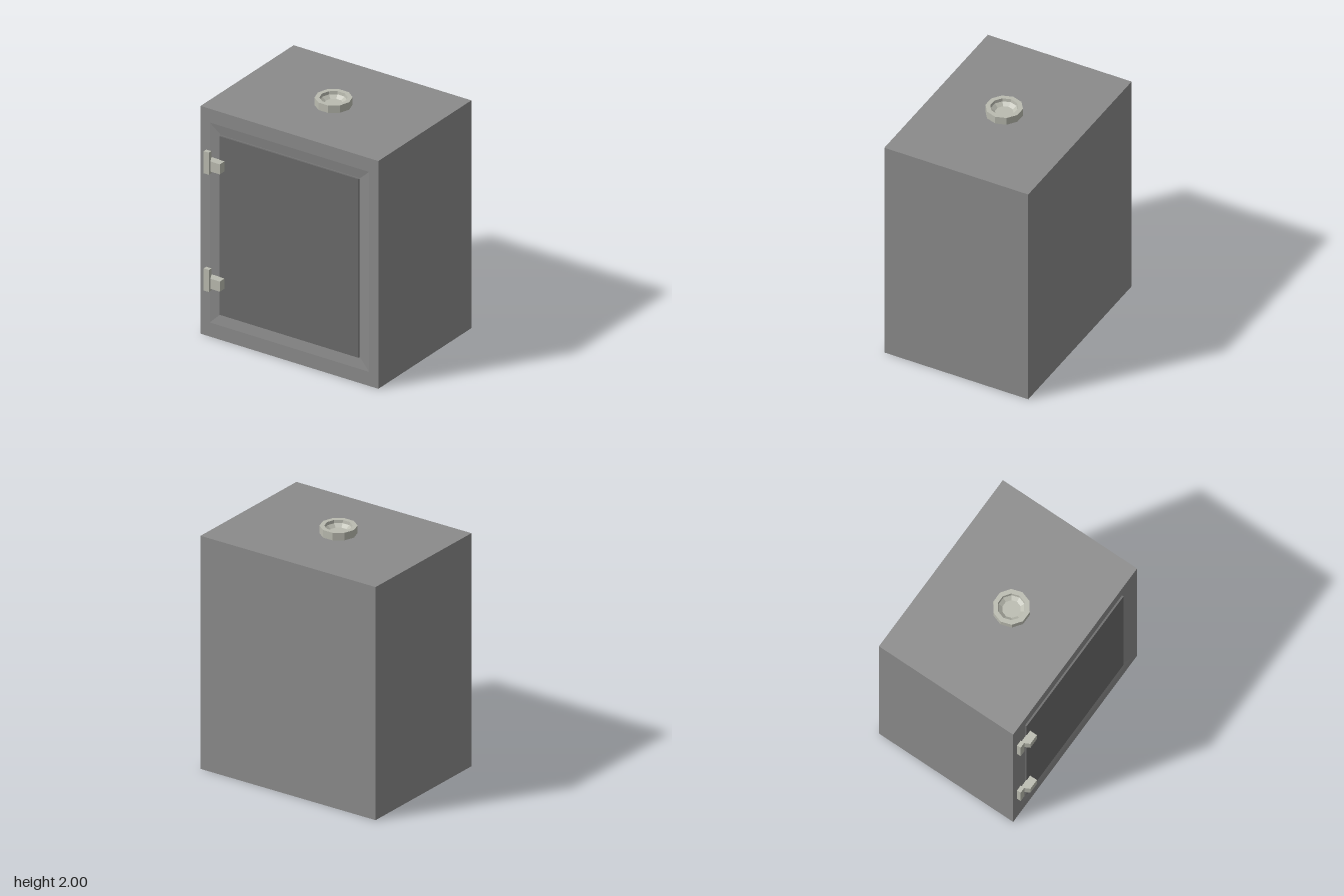
import * as THREE from 'three';

const bodyGrey = new THREE.MeshStandardMaterial({ color: 0x8b8b8b });
bodyGrey.name = 'body grey';
const doorGrey = new THREE.MeshStandardMaterial({ color: 0x6a6a6a });
doorGrey.name = 'door grey';
const fittingGrey = new THREE.MeshStandardMaterial({ color: 0xbabbb0 });
fittingGrey.name = 'pale fitting';

function part(name, geometry, material, parent) {
  const mesh = new THREE.Mesh(geometry, material);
  mesh.name = name;
  parent.add(mesh);
  return mesh;
}

// Flat-shaded copy of a geometry
function faceted(geometry) {
  const flat = geometry.index ? geometry.toNonIndexed() : geometry;
  flat.computeVertexNormals();
  return flat;
}

// Joins rectangular rings [halfWidth, bottom, top, z] from back to front and caps both ends
function rectLoft(rings) {
  const pos = [];
  const index = [];
  for (const [w, y0, y1, z] of rings) pos.push(-w, y0, z, w, y0, z, w, y1, z, -w, y1, z);
  for (let r = 0; r < rings.length - 1; r++) {
    for (let i = 0; i < 4; i++) {
      const a = r * 4 + i;
      const b = r * 4 + ((i + 1) % 4);
      index.push(a, b, b + 4, a, b + 4, a + 4);
    }
  }
  const e = (rings.length - 1) * 4;
  index.push(0, 2, 1, 0, 3, 2, e, e + 1, e + 2, e, e + 2, e + 3);
  const g = new THREE.BufferGeometry();
  g.setAttribute('position', new THREE.Float32BufferAttribute(pos, 3));
  g.setIndex(index);
  return faceted(g);
}

function createHinge(y) {
  const hinge = new THREE.Group();
  hinge.name = 'hinge';
  // Upright plate on the frame
  const plate = part('hingePlate', new THREE.BoxGeometry(0.048, 0.188, 0.035), fittingGrey, hinge);
  plate.position.set(-0.744, 0, 0.606);
  // Arm with one sloping end, reaching over the door
  const outline = new THREE.Shape([
    new THREE.Vector2(-0.72, -0.588),
    new THREE.Vector2(-0.685, -0.655),
    new THREE.Vector2(-0.598, -0.655),
    new THREE.Vector2(-0.598, -0.588),
  ]);
  const arm = new THREE.ExtrudeGeometry(outline, { depth: 0.086, bevelEnabled: false });
  arm.rotateX(-Math.PI / 2).translate(0, -0.043, 0);
  part('hingeArm', arm, fittingGrey, hinge);
  hinge.position.y = y;
  return hinge;
}

export function createModel() {
  const model = new THREE.Group();
  model.name = 'cabinet';

  // Body with a shallow bevelled recess in its front
  part('body', rectLoft([
    [0.82, 0, 1.937, -0.655],
    [0.82, 0, 1.937, 0.59],
    [0.735, 0.12, 1.82, 0.59],
    [0.642, 0.212, 1.735, 0.577],
  ]), bodyGrey, model);

  // Door panel filling the recess
  const door = part('door', new THREE.BoxGeometry(1.282, 1.518, 0.018), doorGrey, model);
  door.position.set(-0.003, 0.971, 0.583);

  // Ten-sided vent collar with a hollow centre
  const profile = [[0.145, 1.935], [0.145, 2], [0.108, 2], [0.104, 1.975], [0.072, 1.952], [0, 1.952]]
    .map(([r, y]) => new THREE.Vector2(r, y));
  part('ventCollar', faceted(new THREE.LatheGeometry(profile, 10, Math.PI / 2)), fittingGrey, model);

  for (const y of [0.49, 1.487]) model.add(createHinge(y));

  return model;
}
